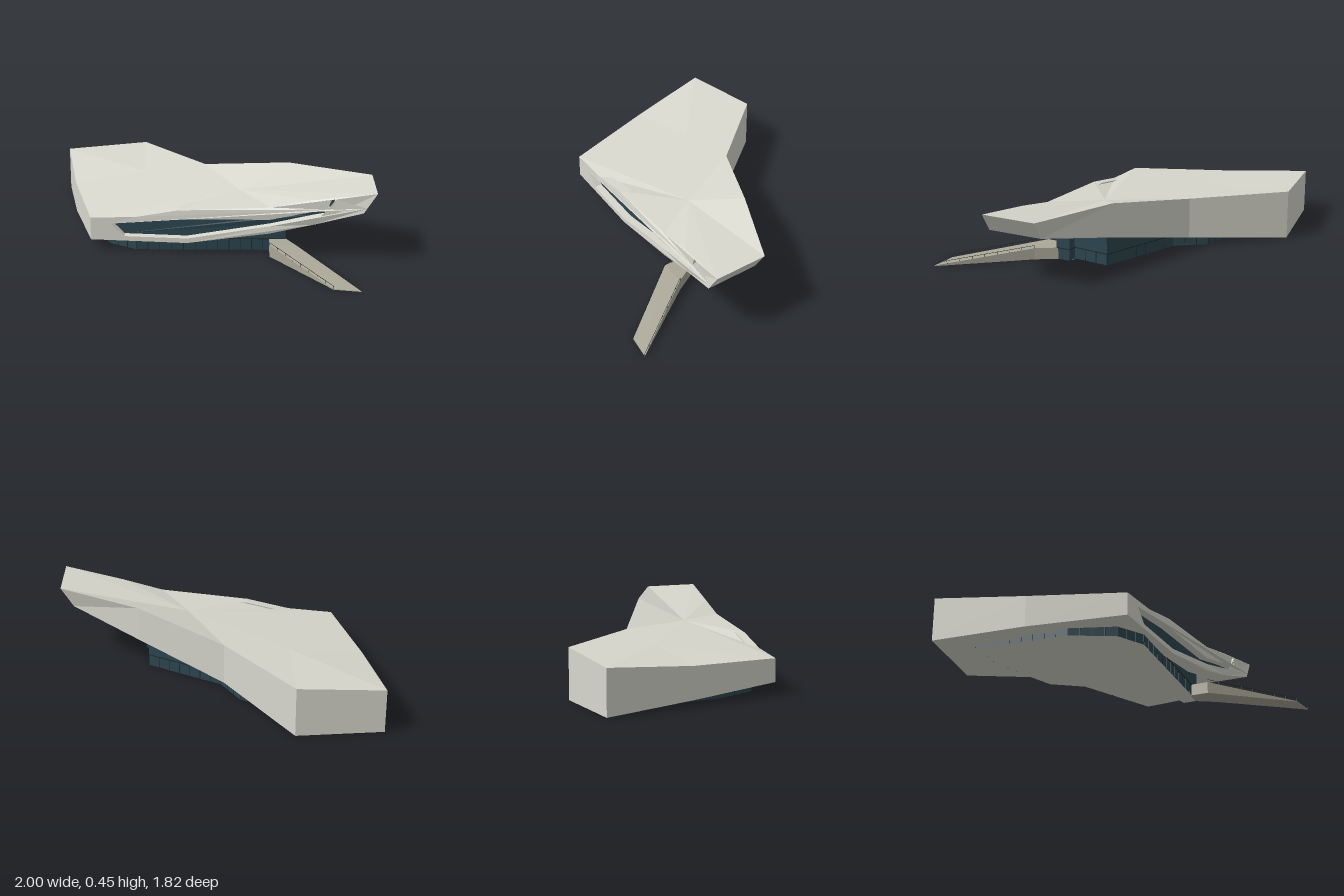
import * as THREE from 'three';

const mat = (color) => new THREE.MeshStandardMaterial({ color, flatShading: true, side: THREE.DoubleSide });
const shellMat = mat(0xd8d8ce), glassMat = mat(0x2d4650), rampMat = mat(0xaaa797), darkMat = mat(0x222a2c);

// Flat-faced mesh from polygons of [x, y, z] corners
function facets(name, polys, material) {
  const pos = [];
  for (const p of polys)
    for (let i = 1; i < p.length - 1; i++) pos.push(...p[0], ...p[i], ...p[i + 1]);
  const geo = new THREE.BufferGeometry();
  geo.setAttribute('position', new THREE.Float32BufferAttribute(pos, 3));
  geo.computeVertexNormals();
  const mesh = new THREE.Mesh(geo, material);
  mesh.name = name;
  return mesh;
}

// Vertical walls between matching rings, counter-clockwise seen from above
const wallsBetween = (low, high) => low.slice(1).map((b, i) => [low[i], b, high[i + 1], high[i]]);

// Thin square bar between two points
function bar(a, b, t, material) {
  const p = new THREE.Vector3(...a), q = new THREE.Vector3(...b);
  const mesh = new THREE.Mesh(new THREE.BoxGeometry(t, t, p.distanceTo(q)), material);
  mesh.position.copy(p).lerp(q, 0.5);
  mesh.lookAt(q);
  return mesh;
}

const mix = (a, b, t) => a.map((v, i) => v + (b[i] - v) * t);

// Depth of the bent front facade
const frontZ = (x) => x < 0.56 ? 0.29 + (x + 0.75) * 0.092
  : 0.41 + Math.min(1, (x - 0.56) / 0.36) * 0.075;
const onFront = ([x, y]) => [x, y, frontZ(x)];

// Extrude a facade drawing and bend it along the front
function facadePart(name, shape, depth, setback, material) {
  const geo = new THREE.ExtrudeGeometry(shape, { depth, bevelEnabled: false });
  const p = geo.attributes.position;
  for (let i = 0; i < p.count; i++) p.setZ(i, p.getZ(i) - depth - setback + frontZ(p.getX(i)));
  geo.computeVertexNormals();
  const mesh = new THREE.Mesh(geo, material);
  mesh.name = name;
  return mesh;
}
const points = (list) => list.map(([x, y]) => new THREE.Vector2(x, y));

export function createModel() {
  const model = new THREE.Group();

  // Roof and underside outlines: front edges, then right end, back and left end
  const topFront = [[-0.75, 0.215], [-0.47, 0.23], [-0.2, 0.285], [0.36, 0.325], [0.62, 0.385], [1, 0.45]];
  const lowFront = [[-0.75, 0.07], [-0.15, 0.07], [0.36, 0.155], [0.62, 0.225], [0.92, 0.325]];
  const tf = topFront.map(onFront), lf = lowFront.map(onFront);
  const E = [1, 0.45, 0.14], D = [0.49, 0.44, -0.12], C = [-0.05, 0.33, -0.4];
  const B = [-0.47, 0.315, -0.91], A = [-1, 0.28, -0.86], I = [-0.9, 0.235, -0.3];
  const e = [0.92, 0.325, 0.14], d = [0.49, 0.22, -0.12], c = [-0.05, 0.068, -0.4];
  const b = [-0.47, 0, -0.91], a = [-1, 0, -0.86], i = [-0.9, 0.035, -0.3];

  // Faceted roof around two inner low points
  const K = [0.18, 0.325, 0.08], J = [-0.45, 0.29, -0.37];
  const fan = (hub, ring) => ring.slice(1).map((p, n) => [hub, ring[n], p]);
  model.add(facets('roof', [
    ...fan(K, [...tf, E, D, C, J, tf[0]]),
    ...fan(J, [C, B, A, I, tf[0]]),
  ], shellMat));

  // Outer walls and sloping underside
  model.add(facets('outerWalls', wallsBetween(
    [lf[4], e, d, c, b, a, i, lf[0]], [tf[5], E, D, C, B, A, I, tf[0]]), shellMat));
  model.add(facets('underside', [
    [lf[4], lf[3], d, e], [lf[3], lf[2], d], [lf[2], lf[1], c, d],
    [lf[1], lf[0], i, c], [i, a, b, c],
  ], shellMat));

  // Front frame with the long window and the small slanted one
  const openings = [
    [[-0.62, 0.18], [-0.2, 0.225], [0.36, 0.245], [0.62, 0.31], [0.94, 0.355], [0.62, 0.272], [0.36, 0.202], [-0.15, 0.1], [-0.54, 0.1]],
    [[0.705, 0.332], [0.738, 0.337], [0.757, 0.402], [0.728, 0.395]],
  ];
  const frame = new THREE.Shape(points([...lowFront, ...topFront.slice().reverse()]));
  frame.holes = openings.map((o) => new THREE.Path(points(o)));
  model.add(facadePart('frontFrame', frame, 0.06, 0, shellMat));
  openings.forEach((o) =>
    model.add(facadePart('frontWindow', new THREE.Shape(points(o)), 0.005, 0.05, glassMat)));

  // Glazed ground storey rising to the underside: x, z, top height
  const plan = [[-0.1, 0.28, 0.08], [0.46, 0.28, 0.21], [0.46, 0.19, 0.21], [0.41, 0.18, 0.205],
    [0.43, -0.05, 0.21], [-0.03, -0.3, 0.09], [-0.15, -0.49, 0.06], [-0.53, -0.655, 0.04],
    [-0.81, -0.67, 0.025], [-0.76, -0.09, 0.05], [-0.64, 0.18, 0.07], [-0.47, 0.28, 0.075], [-0.1, 0.28, 0.08]];
  const base = plan.map(([x, z]) => [x, 0, z]), head = plan.map(([x, z, h]) => [x, h, z]);
  model.add(facets('glassWalls', wallsBetween(base, head), glassMat));
  model.add(facets('groundFloor', base.slice(1).map((p, n) => [[-0.2, 0, 0], p, base[n]]), shellMat));

  // Mullions and a transom line along the glass
  const mullions = new THREE.Group();
  mullions.name = 'mullions';
  for (let n = 0; n < plan.length - 1; n++) {
    const len = Math.hypot(plan[n + 1][0] - plan[n][0], plan[n + 1][1] - plan[n][1]);
    const count = Math.max(1, Math.round(len / 0.07));
    for (let k = 0; k < count; k++) {
      const foot = mix(base[n], base[n + 1], k / count), top = mix(head[n], head[n + 1], k / count);
      mullions.add(bar(foot, [top[0], Math.min(top[1], 0.075), top[2]], 0.004, darkMat));
    }
    if (head[n][1] > 0.078 && head[n + 1][1] > 0.078)
      mullions.add(bar([base[n][0], 0.075, base[n][2]], [base[n + 1][0], 0.075, base[n + 1][2]], 0.006, darkMat));
  }
  model.add(mullions);

  // Entrance landing and the wedge ramp down to the ground
  const landing = [[0.36, 0.27], [0.36, 0.39], [0.53, 0.4], [0.46, 0.27], [0.36, 0.27]];
  const at = (list, y) => list.map(([x, z]) => [x, y, z]);
  const deck = at(landing, 0.075);
  model.add(facets('landing', [
    ...wallsBetween(at(landing, 0), deck), deck.slice(0, 4), at(landing, 0).slice(0, 4).reverse(),
  ], rampMat));
  const nearL = [0.36, 0.075, 0.39], nearR = [0.53, 0.075, 0.4];
  const farL = [0.72, 0.004, 0.88], farR = [0.88, 0.004, 0.91];
  const ground = ([x, , z]) => [x, 0, z];
  const rampTop = [nearL, farL, farR, nearR];
  const rampLow = rampTop.map(ground);
  model.add(facets('ramp', [
    rampTop, rampLow.slice().reverse(), ...wallsBetween(rampLow, rampTop),
  ], rampMat));

  // Slender handrails on both sides of the ramp
  const rails = new THREE.Group();
  rails.name = 'handrails';
  const lift = ([x, y, z], h) => [x, y + h, z];
  for (const [p, q] of [[nearL, farL], [nearR, farR]]) {
    rails.add(bar(lift(p, 0.018), lift(q, 0.018), 0.002, darkMat));
    for (let k = 0; k <= 8; k++) {
      const foot = mix(p, q, k / 8);
      rails.add(bar(foot, lift(foot, 0.018), 0.002, darkMat));
    }
  }
  model.add(rails);
  return model;
}
